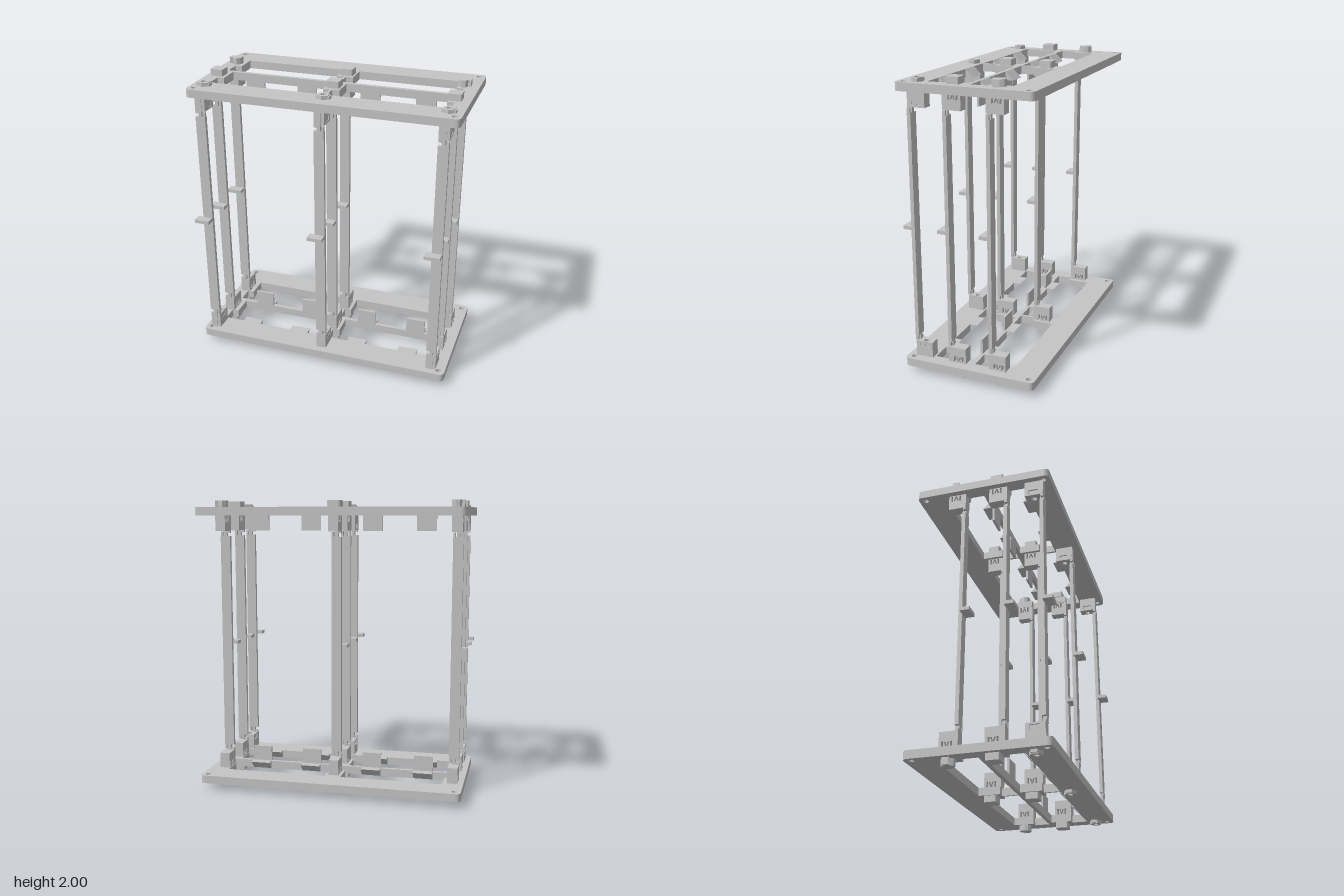
import * as THREE from 'three';

const grey = new THREE.MeshStandardMaterial({ color: 0xc4c4c4 });
grey.name = 'grey plastic';

const columns = [-0.83, 0, 0.803];

// Paths are lists of [x, z]
function circlePts(x, z, r, n = 20, turn = 0) {
  return Array.from({ length: n }, (_, i) => {
    const a = (i / n) * Math.PI * 2 + turn;
    return [x + r * Math.cos(a), z + r * Math.sin(a)];
  });
}

function roundedRect(x0, x1, z0, z1, r) {
  const pts = [];
  const corners = [[x1 - r, z1 - r], [x0 + r, z1 - r], [x0 + r, z0 + r], [x1 - r, z0 + r]];
  corners.forEach(([cx, cz], k) => {
    for (let i = 0; i <= 4; i++) {
      const a = (k + i / 4) * Math.PI / 2;
      pts.push([cx + r * Math.cos(a), cz + r * Math.sin(a)]);
    }
  });
  return pts;
}

// Outline runs counter-clockwise and holes clockwise, so every wall faces outward
function flatShape(pts, holes, sx, sy) {
  const path = (list, clockwise) => {
    const v = list.map((p) => new THREE.Vector2(p[0] * sx, p[1] * sy));
    return THREE.ShapeUtils.isClockWise(v) === clockwise ? v : v.reverse();
  };
  const shape = new THREE.Shape(path(pts, false));
  holes.forEach((h) => shape.holes.push(new THREE.Path(path(h, true))));
  return shape;
}

// Plan outline raised from y0 to y1
function slab(pts, y0, y1, holes = []) {
  const geo = new THREE.ExtrudeGeometry(flatShape(pts, holes, 1, -1), { depth: y1 - y0, bevelEnabled: false });
  return geo.rotateX(-Math.PI / 2).translate(0, y0, 0);
}

// Side outline of [z, y] points extended from x0 to x1
function sideways(pts, x0, x1, holes = []) {
  const geo = new THREE.ExtrudeGeometry(flatShape(pts, holes, -1, 1), { depth: x1 - x0, bevelEnabled: false });
  return geo.rotateY(Math.PI / 2).translate(x0, 0, 0);
}

function box(x0, x1, y0, y1, z0, z1) {
  return new THREE.BoxGeometry(x1 - x0, y1 - y0, z1 - z0)
    .translate((x0 + x1) / 2, (y0 + y1) / 2, (z0 + z1) / 2);
}

// Mirror a geometry about y = 1, restoring the corner order
function mirrorY(geo) {
  const g = geo.index ? geo.toNonIndexed() : geo.clone();
  g.scale(1, -1, 1).translate(0, 2, 0);
  const p = g.attributes.position;
  const a = new THREE.Vector3(), b = new THREE.Vector3();
  for (let i = 0; i < p.count; i += 3) {
    a.fromBufferAttribute(p, i + 1);
    b.fromBufferAttribute(p, i + 2);
    p.setXYZ(i + 1, b.x, b.y, b.z);
    p.setXYZ(i + 2, a.x, a.y, a.z);
  }
  g.computeVertexNormals();
  return g;
}

// Stepped window beside the centre web; side is -1 or 1
function windowPath(side, zBack, zStep, zFront) {
  return [[0.057, zBack], [0.763, zBack], [0.763, zStep], [0.81, zStep],
    [0.81, zFront], [0.008, zFront], [0.008, zStep], [0.057, zStep]].map(([x, z]) => [x * side, z]);
}

export function createModel() {
  const model = new THREE.Group();
  model.name = 'rack';
  const lower = new THREE.Group();
  lower.name = 'lowerFrame';
  const upper = new THREE.Group();
  upper.name = 'upperFrame';
  model.add(lower, upper);

  const add = (parent, name, geo) => {
    const mesh = new THREE.Mesh(geo, grey);
    mesh.name = name;
    parent.add(mesh);
  };
  // Frame parts are made for the lower frame and mirrored for the upper
  const both = (name, geo) => {
    add(lower, name, geo);
    add(upper, name, mirrorY(geo));
  };

  // Frame plate with windows, corner holes and screw holes
  const holes = [];
  for (const side of [-1, 1]) {
    holes.push(windowPath(side, -0.28, -0.13, -0.02), windowPath(side, 0.008, 0.158, 0.268));
    holes.push(circlePts(0.861 * side, -0.42, 0.018), circlePts(0.861 * side, 0.406, 0.018));
  }
  columns.forEach((x) => holes.push(circlePts(x + 0.01, 0.333, 0.019)));
  both('framePlate', slab(roundedRect(-0.905, 0.905, -0.465, 0.453, 0.03), 0.045, 0.1, holes));

  // Guide tabs and ramps along the divider and the front rail
  for (const x of [-0.6, -0.225, 0.22, 0.597]) {
    both('guideTab', box(x - 0.068, x + 0.068, 0.08, 0.207, -0.008, 0.008));
    for (const z of [-0.02, 0.268]) {
      both('guideRamp', sideways([[z, 0.045], [z, 0.1], [z - 0.055, 0.1]], x - 0.068, x + 0.068));
    }
  }

  columns.forEach((x, i) => {
    const l = x - 0.035, r = x + 0.035, sx = x + 0.01;

    // Front socket in three layers, the middle one with a stepped notch at both sides
    const screwHole = [circlePts(sx, 0.333, 0.019)];
    const block = [[l, 0.28], [r, 0.28], [r, 0.4], [l, 0.4]];
    const notched = [[l, 0.28], [r, 0.28], [r, 0.305], [r - 0.005, 0.305], [r - 0.005, 0.338], [r - 0.002, 0.338],
      [r - 0.002, 0.37], [r, 0.37], [r, 0.4], [l, 0.4], [l, 0.37], [l + 0.01, 0.37], [l + 0.01, 0.305], [l, 0.305]];
    both('frontSocket', slab(block, 0.1, 0.165, screwHole));
    both('frontSocket', slab(notched, 0.165, 0.195, screwHole));
    both('frontSocket', slab(block, 0.195, 0.207, screwHole));

    // Hexagonal nut and its keyed wings
    both('nut', slab(circlePts(sx, 0.333, 0.042, 6, Math.PI / 6), 0.02, 0.045, screwHole));
    both('nutWings', slab(roundedRect(sx - 0.046, sx + 0.046, 0.311, 0.355, 0.004), 0.026, 0.045, screwHole));

    // Middle and rear sockets with spring slots: two bars around a chevron
    for (const [z0, z1, c] of [[0.035, 0.16, 0.087], [-0.25, -0.13, -0.2]]) {
      const slots = [-1, 1].map((s) => [0.022, 0.034].flatMap((u, k) =>
        (k ? [0.145, 0.104] : [0.104, 0.145]).map((y) => [c + s * u, y])));
      slots.push([[-0.017, 0.142], [-0.008, 0.142], [0, 0.118], [0.008, 0.142], [0.017, 0.142], [0.005, 0.106], [-0.005, 0.106]]
        .map(([u, y]) => [c + u, y]));
      both(c > 0 ? 'middleSocket' : 'rearSocket',
        sideways([[z0, 0.1], [z1, 0.1], [z1, 0.207], [z0, 0.207]], l, r, slots));
    }

    // Outer bosses: square in the middle row, keyhole at the rear corners
    both('middleBoss', slab(roundedRect(x - 0.045, x + 0.043, 0.042, 0.13, 0.006), 0, 0.045));
    if (i === 1) {
      both('rearBoss', slab(roundedRect(x - 0.05, x + 0.045, -0.247, -0.157, 0.014), 0, 0.045));
    } else {
      const s = Math.sign(x);
      const key = [[0.045, -0.225], [0.025, -0.218], [0.012, -0.242], [-0.015, -0.247], [-0.037, -0.228],
        [-0.043, -0.201], [-0.037, -0.176], [-0.015, -0.157], [0.012, -0.161], [0.025, -0.185], [0.045, -0.178]];
      both('rearBoss', slab(key.map(([u, z]) => [x + s * u, z]), 0, 0.045));
    }

    // Posts with necks, clips and a pointer halfway up
    for (const z of [0.405, 0.16, -0.13]) {
      const row = z > 0.3 ? 'front' : z > 0 ? 'middle' : 'rear';
      add(model, row + 'Post', box(l, r, 0.245, 1.755, z - 0.025, z));
      add(model, row + 'Pointer', box(x - 0.073, x + 0.033, 0.988, 1.012, z - 0.004, z + 0.06));
      both(row + 'PostNeck', box(x - 0.012, x + 0.012, 0.1, 0.247, z - 0.025, z));
      both(row + 'PostClip', box(x + 0.02, r, 0.212, 0.247, z - 0.02, z));
      both(row + 'PostFoot', box(l + 0.002, x - 0.012, 0.1, 0.222, z - 0.02, z));
    }
  });

  return model;
}
